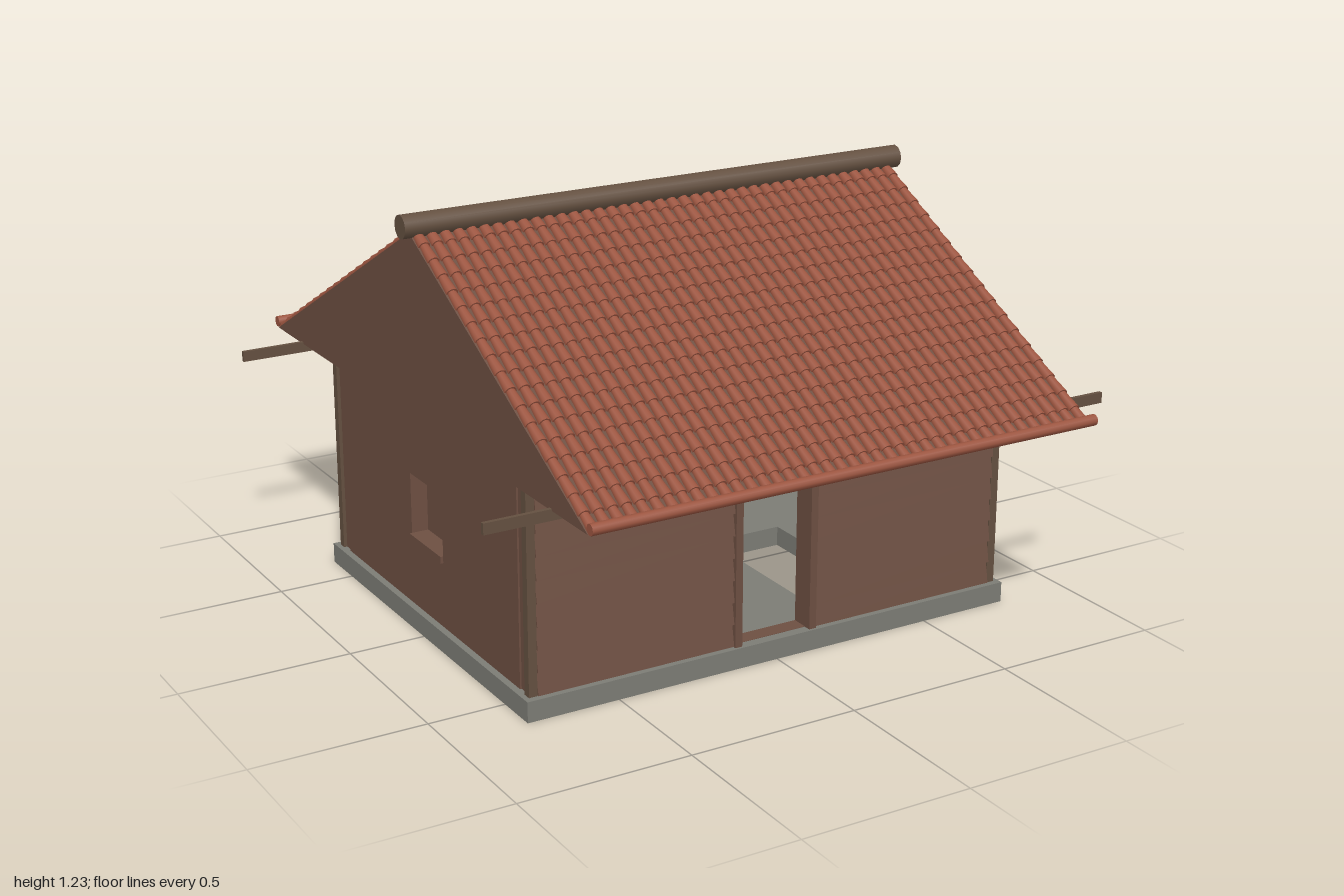
import * as THREE from 'three';
import { mergeGeometries } from 'three/addons/utils/BufferGeometryUtils.js';

const mat = (name, color) => {
  const m = new THREE.MeshStandardMaterial({ color });
  m.name = name;
  return m;
};

export function createModel() {
  const house = new THREE.Group();
  house.name = 'cottage';
  const wood = mat('brown wood', 0x6d4f42);
  const beamWood = mat('dark beam wood', 0x645040);
  const stone = mat('grey stone', 0x7c7c75);
  const clay = mat('terracotta', 0x9c5540);

  const add = (name, geo, material, parent = house) => {
    const mesh = new THREE.Mesh(geo, material);
    mesh.name = name;
    parent.add(mesh);
    return mesh;
  };
  // box given by its lower and upper corners
  const box = (name, material, x0, x1, y0, y1, z0, z1) => {
    const geo = new THREE.BoxGeometry(x1 - x0, y1 - y0, z1 - z0);
    geo.translate((x0 + x1) / 2, (y0 + y1) / 2, (z0 + z1) / 2);
    return add(name, geo, material);
  };
  const rect = (T, x0, x1, y0, y1) => {
    const s = new T();
    s.moveTo(x0, y0);
    s.lineTo(x1, y0);
    s.lineTo(x1, y1);
    s.lineTo(x0, y1);
    s.closePath();
    return s;
  };
  // flat panel with an optional rectangular opening
  const panel = (outer, hole, depth) => {
    const s = rect(THREE.Shape, ...outer);
    if (hole) s.holes.push(rect(THREE.Path, ...hole));
    return new THREE.ExtrudeGeometry(s, { depth, bevelEnabled: false });
  };

  // foundation slab with a cellar opening
  add('foundation', panel([-0.775, 0.775, -0.63, 0.63], [0.21, 0.45, -0.45, 0.06], 0.06)
    .rotateX(-Math.PI / 2), stone);

  // walls
  add('frontWall', panel([-0.75, 0.75, 0.06, 0.65], [-0.11, 0.11, 0.061, 0.5], 0.05)
    .translate(0, 0, 0.55), wood);
  add('backWall', panel([-0.75, 0.75, 0.06, 0.65], null, 0.05).translate(0, 0, -0.6), wood);
  for (const side of [-1, 1]) {
    const wall = panel([-0.55, 0.55, 0.06, 0.65], [-0.1, 0.1, 0.275, 0.455], 0.05)
      .rotateY(Math.PI / 2).translate(side > 0 ? 0.705 : -0.755, 0, 0);
    add('sideWall', wall, wood);
    const x = side * 0.735;
    box('windowSill', wood, x - 0.028, x + 0.028, 0.255, 0.275, -0.1, 0.1);
    for (const z of [-0.5975, 0.5975]) {
      box('cornerPost', beamWood, side * 0.7475 - 0.0125, side * 0.7475 + 0.0125,
        0.06, 0.65, z - 0.0125, z + 0.0125);
    }
  }

  // overlapping weatherboards on the front, either side of the door
  const board = new THREE.Shape();
  board.moveTo(0, 0);
  board.lineTo(0.016, 0);
  board.lineTo(0.004, 0.065);
  board.lineTo(0, 0.065);
  board.closePath();
  for (const x0 of [-0.735, 0.13]) {
    for (let i = 0; i < 9; i++) {
      const geo = new THREE.ExtrudeGeometry(board, { depth: 0.605, bevelEnabled: false });
      geo.rotateY(-Math.PI / 2).translate(x0 + 0.605, 0.062 + i * 0.065, 0.6);
      add('weatherboard', geo, wood);
    }
  }

  // door frame
  for (const s of [-1, 1]) {
    box('doorJamb', wood, s * 0.121 - 0.011, s * 0.121 + 0.011, 0.06, 0.52, 0.55, 0.622);
  }
  box('doorLintel', wood, -0.11, 0.11, 0.497, 0.52, 0.55, 0.622);
  box('doorHeader', wood, -0.15, 0.15, 0.52, 0.543, 0.6, 0.63);

  // bench against the back wall
  box('benchSeat', wood, -0.5, 0.5, 0.21, 0.24, -0.55, -0.35);
  box('benchBack', wood, -0.5, 0.5, 0.24, 0.28, -0.55, -0.52);
  box('benchRail', wood, -0.5, 0.5, 0.09, 0.11, -0.53, -0.51);
  for (const x of [-0.48, 0.48]) box('benchEnd', wood, x - 0.02, x + 0.02, 0.06, 0.21, -0.55, -0.36);

  // solid gabled roof body
  const gable = new THREE.Shape();
  gable.moveTo(-0.975, 0.65);
  gable.lineTo(0.975, 0.65);
  gable.lineTo(0, 1.175);
  gable.closePath();
  add('roofBody', new THREE.ExtrudeGeometry(gable, { depth: 1.56, bevelEnabled: false })
    .rotateY(Math.PI / 2).translate(-0.78, 0, 0), wood);

  // rows of half-round clay tiles, each lower end lapping over the next row
  const pitch = 0.039, rows = 18, cols = 40;
  const slopeLength = Math.hypot(0.975, 0.525);
  const rowStep = slopeLength / rows;
  const angle = Math.atan2(0.525, 0.975);
  const tile = new THREE.CylinderGeometry(0.013, 0.0175, rowStep, 6, 1, false, -Math.PI / 2, Math.PI);
  const tiles = [];
  for (let r = 0; r < rows; r++) {
    for (let c = 0; c < cols; c++) {
      tiles.push(tile.clone().translate((c - (cols - 1) / 2) * pitch, -(r + 0.5) * rowStep, 0));
    }
  }
  const tileGeo = mergeGeometries(tiles);
  for (const turn of [0, Math.PI]) {
    const slope = new THREE.Group();
    slope.name = turn ? 'backRoofSlope' : 'frontRoofSlope';
    slope.rotation.y = turn;
    house.add(slope);
    const field = add('roofTiles', tileGeo, clay, slope);
    field.position.y = 1.175;
    field.rotation.x = angle - Math.PI / 2;
    // rounded edge along the eave
    const eave = add('eaveRoll', new THREE.CylinderGeometry(0.016, 0.016, 1.56, 10), clay, slope);
    eave.rotation.z = Math.PI / 2;
    eave.position.set(0, 0.667, 0.984);
  }

  // ridge log
  add('ridgeLog', new THREE.CylinderGeometry(0.034, 0.034, 1.61, 12)
    .rotateZ(Math.PI / 2).translate(0, 1.194, 0), beamWood);

  // long beams under the eaves
  for (const z of [-0.787, 0.787]) {
    box('eaveBeam', beamWood, -0.97, 0.97, 0.625, 0.656, z - 0.006, z + 0.006);
  }
  return house;
}
